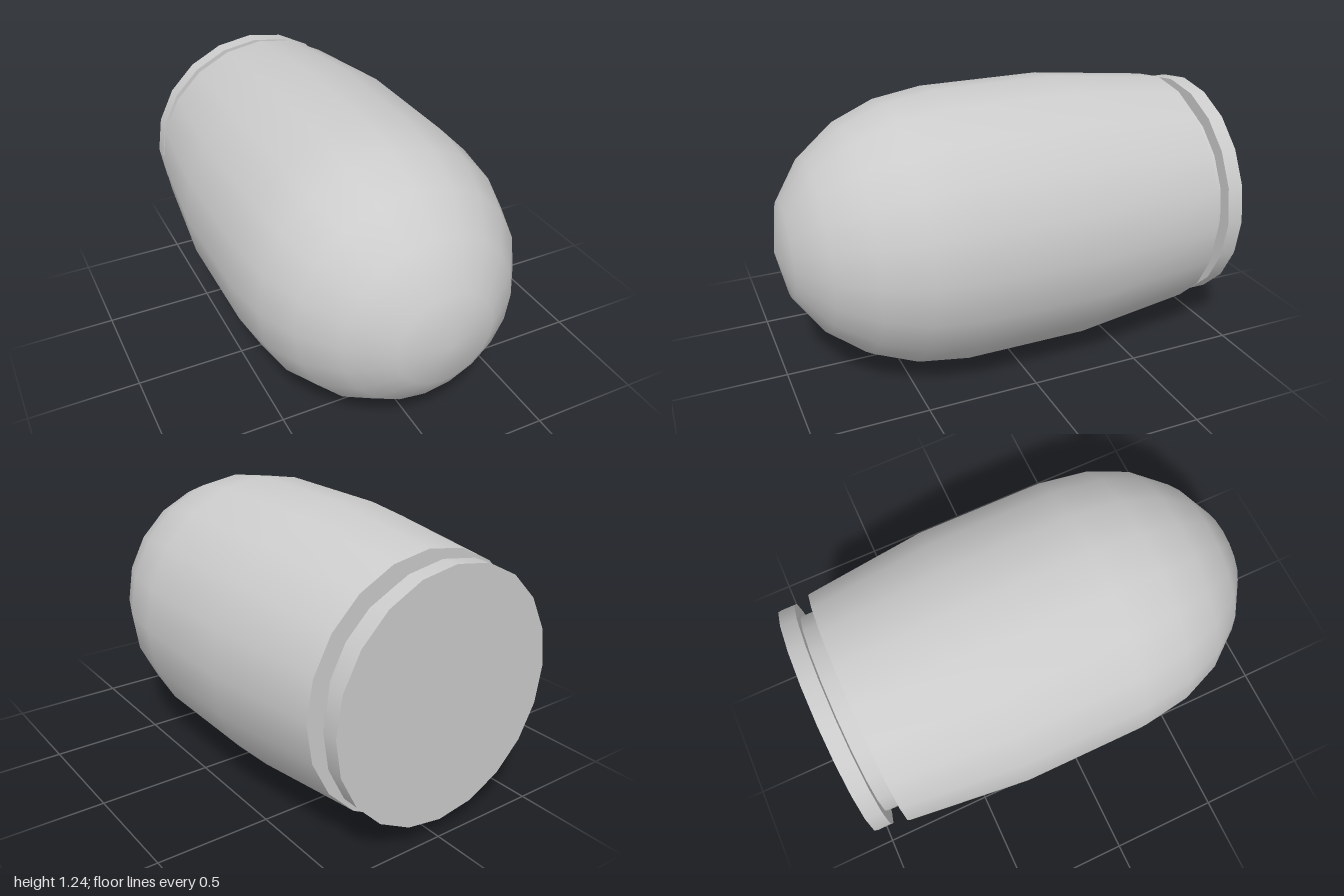
import * as THREE from 'three';

const SIDES = 20;
const AXIS_HEIGHT = 0.62;

// Turned part around the z axis; profile is [radius, z] from back to front.
function turned(name, profile, material) {
  const points = profile.map(([r, z]) => new THREE.Vector2(r, z));
  const geometry = new THREE.LatheGeometry(points, SIDES);
  // A closed front tip gets one shared normal so the dome shades smoothly.
  const { position, normal } = geometry.attributes;
  for (let i = 0; i < position.count; i++) {
    if (position.getY(i) > 0.99) normal.setXYZ(i, 0, 1, 0);
  }
  geometry.rotateX(Math.PI / 2);
  const mesh = new THREE.Mesh(geometry, material);
  mesh.name = name;
  return mesh;
}

export function createModel() {
  const material = new THREE.MeshStandardMaterial({ color: 0xcccccc });
  const model = new THREE.Group();
  model.name = 'bullet';

  // Each entry is one smooth surface; sharp edges lie between entries.
  const parts = {
    rimBack: [[0, -1], [0.535, -1]],
    rimEdge: [[0.535, -1], [0.535, -0.927]],
    rimFront: [[0.535, -0.927], [0.475, -0.927]],
    extractorGroove: [[0.475, -0.927], [0.475, -0.855]],
    shoulder: [[0.475, -0.855], [0.555, -0.855]],
    bodyAndNose: [
      [0.555, -0.855], [0.618, -0.3], [0.618, 0.265], [0.585, 0.49],
      [0.51, 0.675], [0.385, 0.835], [0.212, 0.955], [0, 1],
    ],
  };
  for (const [name, profile] of Object.entries(parts)) {
    model.add(turned(name, profile, material));
  }
  model.children.forEach((mesh) => { mesh.position.y = AXIS_HEIGHT; });
  return model;
}
